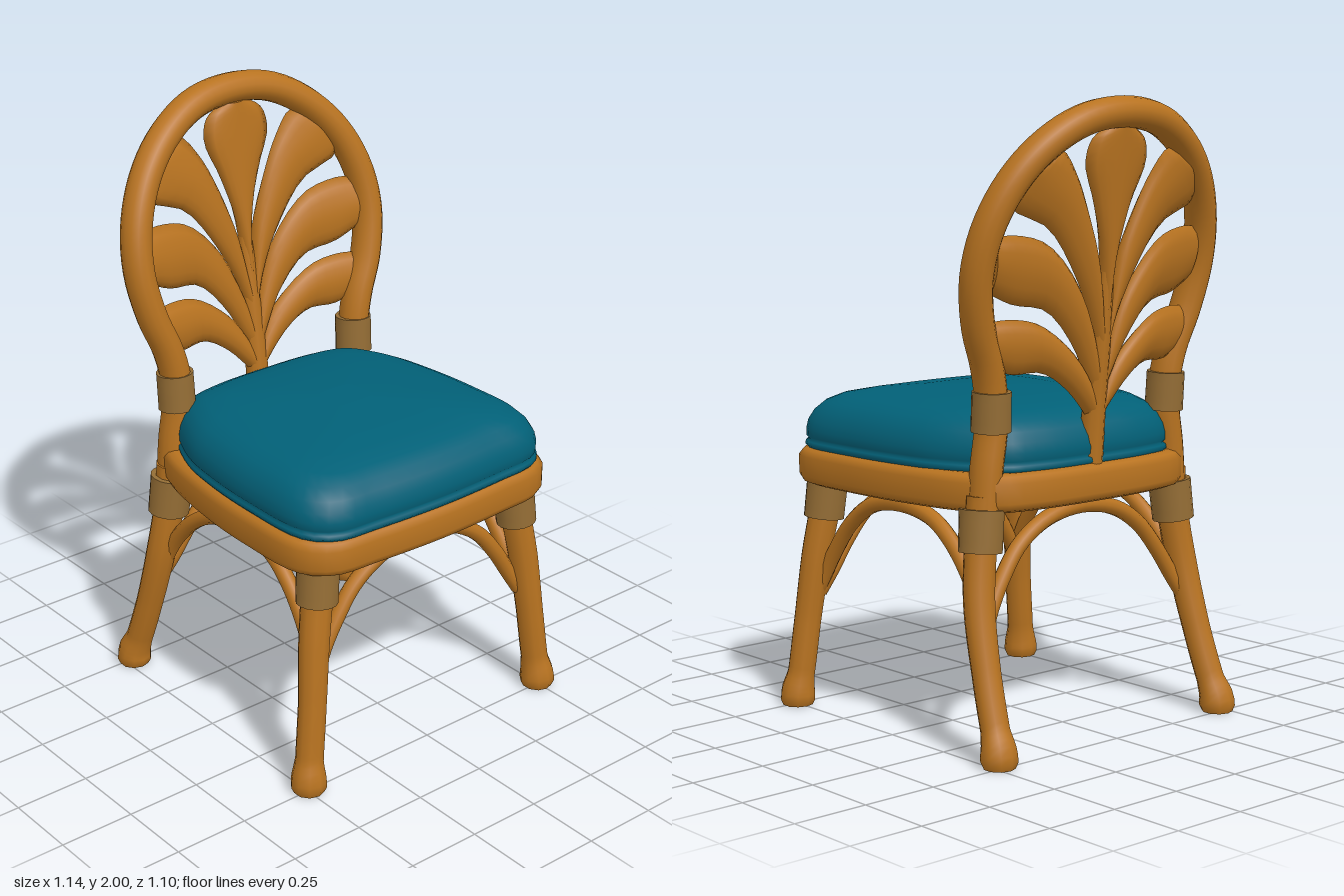
import * as THREE from 'three';

const mat = (name, color) => {
  const m = new THREE.MeshStandardMaterial({ color });
  m.name = name;
  return m;
};
const V = (x, y, z) => new THREE.Vector3(x, y, z);

// Skin a list of equal rings; ends are capped or joined into a loop
function loft(rings, joined = false) {
  const n = rings[0].length, pos = [], idx = [];
  const put = (p) => pos.push(p.x, p.y, p.z) / 3 - 1;
  rings.forEach((r) => r.forEach(put));
  const last = joined ? rings.length : rings.length - 1;
  for (let i = 0; i < last; i++) {
    const a = i * n, b = ((i + 1) % rings.length) * n;
    for (let j = 0; j < n; j++) {
      const k = (j + 1) % n;
      idx.push(a + j, b + j, b + k, a + j, b + k, a + k);
    }
  }
  if (!joined) {
    [[rings[0], 0], [rings[rings.length - 1], 1]].forEach(([ring, end]) => {
      const c = ring.reduce((s, p) => s.add(p), V(0, 0, 0)).divideScalar(n);
      const ci = put(c), s = ring.map(put);
      for (let j = 0; j < n; j++) {
        const k = (j + 1) % n;
        if (end) idx.push(ci, s[k], s[j]); else idx.push(ci, s[j], s[k]);
      }
    });
  }
  // Make the faces point outwards, whichever way the rings run
  let vol = 0;
  const at = (i) => V(pos[3 * i], pos[3 * i + 1], pos[3 * i + 2]);
  for (let i = 0; i < idx.length; i += 3) vol += at(idx[i]).dot(at(idx[i + 1]).cross(at(idx[i + 2])));
  if (vol < 0) idx.reverse();
  const g = new THREE.BufferGeometry();
  g.setAttribute('position', new THREE.Float32BufferAttribute(pos, 3));
  g.setIndex(idx);
  g.computeVertexNormals();
  return g;
}

// Tapered cane along a smooth path; radii are spread over the control points, depth widens it along x
function cane(points, radii, segs = 24, sides = 12, depth = 1) {
  const curve = new THREE.CatmullRomCurve3(points);
  const { normals, binormals } = curve.computeFrenetFrames(segs, false);
  const rings = [];
  for (let i = 0; i <= segs; i++) {
    const t = curve.getUtoTmapping(i / segs) * (radii.length - 1);
    const k = Math.min(Math.floor(t), radii.length - 2);
    const r = THREE.MathUtils.lerp(radii[k], radii[k + 1], t - k);
    const c = curve.getPointAt(i / segs);
    rings.push(Array.from({ length: sides }, (_, j) => {
      const a = (j / sides) * Math.PI * 2;
      const off = V(0, 0, 0).addScaledVector(normals[i], r * Math.cos(a)).addScaledVector(binormals[i], r * Math.sin(a));
      off.x *= depth;
      return off.add(c);
    }));
  }
  return loft(rings);
}

// Seat outline, seen from above
const half = [[0.555, 0.27], [0.537, 0.425], [0.46, 0.5], [0.2, 0.517], [-0.05, 0.5], [-0.28, 0.455], [-0.39, 0.395], [-0.43, 0.25]];
const outline = new THREE.CatmullRomCurve3([
  V(0.567, 0, 0), ...half.map(([x, z]) => V(x, 0, z)),
  V(-0.44, 0, 0), ...half.slice().reverse().map(([x, z]) => V(x, 0, -z)),
], true).getSpacedPoints(80).slice(0, 80);
const seatRing = ([inset, y]) => outline.map((p) =>
  V(0.06 + (p.x - 0.06) * (1 - inset / 0.5), y, p.z * (1 - inset / 0.515)));
// The cushion sits a little forward and narrows between the posts
const cushionRing = (c) => seatRing(c).map((p) =>
  V(p.x + 0.008, p.y, p.z * (1 - 0.06 * THREE.MathUtils.smoothstep(-p.x, 0.1, 0.35))));

// Depth of the curved backrest: the hoop, and the hollow between its sides
const hoopX = (y) => -0.332 - 0.2 * Math.max(0, y - 1) ** 1.9;
const spineX = (y) => -0.39 - 0.122 * (y - 1);
const backX = (y, z) => THREE.MathUtils.lerp(spineX(y), hoopX(y), Math.min(1, Math.abs(z / 0.47) ** 1.5));

// Leaf blade between two edges given as [z, y], with a raised middle
function leaf(upper, lower, side) {
  const [u, l] = [upper, lower].map((e) => new THREE.CatmullRomCurve3(e.map(([z, y]) => V(0, y, z))));
  const rings = [], n = 8;
  for (let i = 0; i <= 16; i++) {
    const a = u.getPoint(i / 16), b = l.getPoint(i / 16), ring = [];
    for (let j = 0; j < 2 * n; j++) {
      const v = j <= n ? j / n : 2 - j / n;
      const p = a.clone().lerp(b, v);
      const h = 0.009 + 0.021 * Math.sin(Math.PI * v);
      p.x = backX(p.y, p.z) + (j % n === 0 ? 0 : j < n ? h : -h);
      p.z *= side;
      ring.push(p);
    }
    rings.push(ring);
  }
  return loft(rings);
}

export function createModel() {
  const wood = mat('caneWood', 0xb87320);
  const wrapMat = mat('binding', 0x946d35);
  const teal = mat('cushionFabric', 0x026077);
  const dark = mat('underside', 0x1c353c);
  const model = new THREE.Group();
  const add = (name, geo, m = wood) => {
    const mesh = new THREE.Mesh(geo, m);
    mesh.name = name;
    mesh.position.z = -0.005;
    model.add(mesh);
  };

  // Seat frame, panel below and cushion with piped lower edge
  add('seatFrame', loft([[0.01, 0.757], [0, 0.778], [0, 0.84], [0.012, 0.86], [0.03, 0.868],
    [0.08, 0.868], [0.09, 0.85], [0.09, 0.775], [0.08, 0.75], [0.03, 0.748]].map(seatRing), true));
  add('seatPanel', loft([[0.07, 0.79], [0.07, 0.798]].map(seatRing)), dark);
  add('cushion', loft([[0.05, 0.86], [0.028, 0.864], [0.02, 0.874], [0.022, 0.886], [0.03, 0.892], [0.024, 0.9],
    [0.023, 0.925], [0.029, 0.955], [0.045, 0.987], [0.072, 1.015], [0.115, 1.037], [0.19, 1.054],
    [0.32, 1.067], [0.44, 1.073]].map(cushionRing)), teal);

  for (const s of [1, -1]) {
    const side = s > 0 ? 'Left' : 'Right';
    // Legs with flared feet
    const radii = [0.055, 0.052, 0.05, 0.046, 0.046, 0.058, 0.059, 0.05];
    add('frontLeg' + side, cane([V(0.435, 0.8, 0.405 * s), V(0.44, 0.68, 0.415 * s), V(0.457, 0.5, 0.443 * s),
      V(0.475, 0.3, 0.465 * s), V(0.487, 0.11, 0.487 * s), V(0.494, 0.05, 0.495 * s), V(0.495, 0.018, 0.496 * s),
      V(0.495, 0.003, 0.496 * s)], radii, 44, 10));
    add('backLeg' + side, cane([V(-0.33, 0.8, 0.4 * s), V(-0.332, 0.68, 0.412 * s), V(-0.355, 0.48, 0.44 * s),
      V(-0.408, 0.27, 0.457 * s), V(-0.461, 0.11, 0.469 * s), V(-0.484, 0.05, 0.475 * s), V(-0.487, 0.018, 0.476 * s),
      V(-0.487, 0.003, 0.476 * s)], radii, 44, 10));

    // Bindings on the legs and backrest posts
    add('frontLegBinding' + side, cane([V(0.435, 0.76, 0.408 * s), V(0.443, 0.63, 0.42 * s)], [0.068, 0.066], 4, 16), wrapMat);
    add('backLegBinding' + side, cane([V(-0.328, 0.76, 0.405 * s), V(-0.335, 0.63, 0.418 * s)], [0.07, 0.068], 4, 16), wrapMat);
    add('postBinding' + side, cane([V(-0.332, 0.995, 0.372 * s), V(-0.338, 1.118, 0.374 * s)], [0.062, 0.061], 4, 16), wrapMat);

    // Side arch, its ends running down the inside of the legs
    add('sideArch' + side, cane([V(-0.362, 0.41, 0.435 * s), V(-0.33, 0.48, 0.425 * s), V(-0.282, 0.555, 0.42 * s),
      V(-0.2, 0.64, 0.415 * s), V(-0.1, 0.7, 0.41 * s), V(0.05, 0.725, 0.41 * s), V(0.2, 0.7, 0.41 * s),
      V(0.3, 0.63, 0.415 * s), V(0.375, 0.535, 0.42 * s), V(0.425, 0.45, 0.428 * s), V(0.452, 0.39, 0.44 * s)],
      [0.026, 0.026], 40, 10));

    // Three leaves on each side of the backrest
    add('upperLeaf' + side, leaf([[0.005, 1.3], [0.04, 1.5], [0.095, 1.65], [0.155, 1.765], [0.225, 1.84], [0.29, 1.81]],
      [[0.005, 1.16], [0.048, 1.31], [0.125, 1.46], [0.24, 1.605], [0.385, 1.675], [0.37, 1.74]], s));
    add('middleLeaf' + side, leaf([[0.005, 1.17], [0.04, 1.29], [0.115, 1.44], [0.24, 1.56], [0.36, 1.59], [0.43, 1.585]],
      [[0.005, 1.05], [0.032, 1.1], [0.105, 1.235], [0.22, 1.355], [0.34, 1.38], [0.42, 1.415]], s));
    add('lowerLeaf' + side, leaf([[0.005, 1.06], [0.04, 1.14], [0.11, 1.225], [0.24, 1.315], [0.34, 1.335], [0.42, 1.33]],
      [[0.005, 0.98], [0.045, 1.03], [0.125, 1.11], [0.22, 1.165], [0.32, 1.165], [0.4, 1.19]], s));
  }

  // Arches under the front and back of the seat
  const archHalf = [[0.432, 0.38], [0.392, 0.45], [0.335, 0.54], [0.26, 0.63], [0.15, 0.698]];
  for (const [name, xs] of [['frontArch', [0.455, 0.44, 0.435, 0.43, 0.43]], ['backArch', [-0.37, -0.352, -0.342, -0.335, -0.335]]]) {
    const rail = (s) => archHalf.map(([z, y], i) => V(xs[i], y, z * s));
    add(name, cane([...rail(1), V(xs[4], 0.725, 0), ...rail(-1).reverse()], [0.026, 0.026], 40, 10));
  }

  // Backrest hoop, from seat to seat over the top
  const hoop = [[0.4, 0.76], [0.39, 0.88], [0.372, 1.0], [0.374, 1.1], [0.396, 1.2], [0.442, 1.32], [0.469, 1.47],
    [0.452, 1.61], [0.39, 1.745], [0.29, 1.853], [0.155, 1.928]];
  const rail = (s) => hoop.map(([z, y]) => V(hoopX(y), y, z * s));
  add('backHoop', cane([...rail(1), V(hoopX(1.951), 1.951, 0), ...rail(-1).reverse()], [0.049, 0.049], 90, 14, 1.12));

  // Centre leaf and spine
  const top = [[0.012, 1.35], [0.03, 1.52], [0.08, 1.68], [0.128, 1.8], [0.112, 1.87], [0.05, 1.912]];
  add('centreLeaf', leaf(top, top.map(([z, y]) => [-z, y]), 1));
  add('backSpine', cane([V(-0.378, 0.82, 0), ...[1, 1.2, 1.4, 1.62].map((y) => V(spineX(y), y, 0))],
    [0.038, 0.038, 0.034, 0.026, 0.012], 20, 10));

  return model;
}
